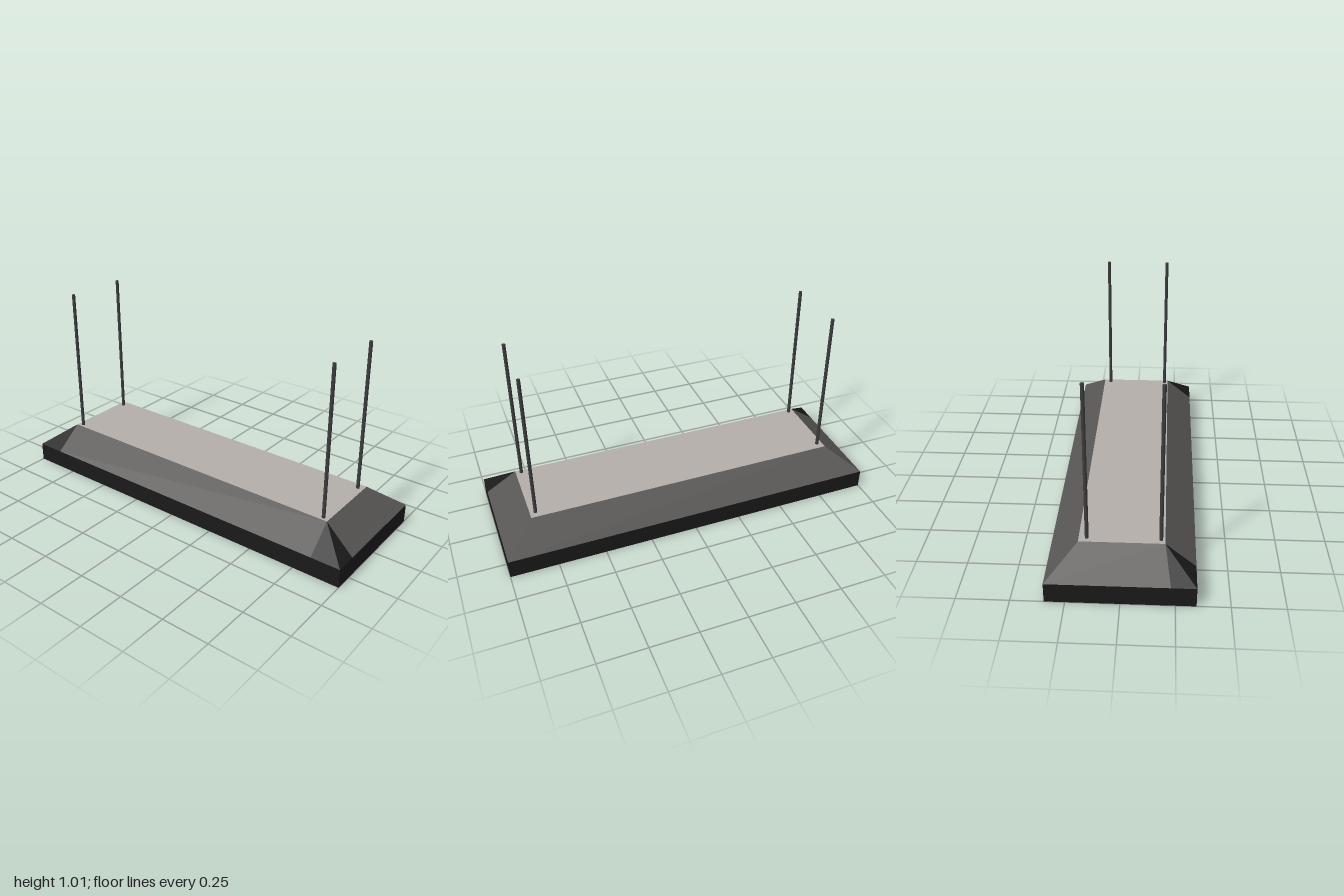
import * as THREE from 'three';

const mat = (color) => new THREE.MeshStandardMaterial({ color, flatShading: true });

// Flat panel from convex corners, listed counter-clockwise as seen from outside
function panel(name, material, corners) {
  const g = new THREE.BufferGeometry();
  g.setAttribute('position', new THREE.Float32BufferAttribute(corners.flat(), 3));
  const index = [];
  for (let i = 1; i < corners.length - 1; i++) index.push(0, i, i + 1);
  g.setIndex(index);
  g.computeVertexNormals();
  const mesh = new THREE.Mesh(g, material);
  mesh.name = name;
  return mesh;
}

export function createModel() {
  const model = new THREE.Group();
  model.name = 'hangingCanopy';
  const black = mat(0x1a1a1a), grey = mat(0x585654), light = mat(0xb4aeaa), steel = mat(0x3c3c3e);

  const X = 1, Z = 0.345, rimY = 0.1;         // rim footprint and height
  const tx = 0.84, tz = 0.2, topY = 0.22;     // top panel
  const cx = 0.845, cz = 0.228;               // where the black corners begin

  // Rim walls
  const rim = new THREE.Group();
  rim.name = 'rim';
  const foot = [[-X, Z], [X, Z], [X, -Z], [-X, -Z]];
  foot.forEach(([x0, z0], i) => {
    const [x1, z1] = foot[(i + 1) % 4];
    rim.add(panel('rimWall', black, [[x0, 0, z0], [x1, 0, z1], [x1, rimY, z1], [x0, rimY, z0]]));
  });
  model.add(rim);

  // Underside and top
  model.add(panel('underside', grey, [[-X, 0, -Z], [X, 0, -Z], [X, 0, Z], [-X, 0, Z]]));
  model.add(panel('topPanel', light, [[-tx, topY, tz], [tx, topY, tz], [tx, topY, -tz], [-tx, topY, -tz]]));

  // Front and back slopes
  model.add(panel('frontSlope', grey, [[-cx, rimY, Z], [cx, rimY, Z], [tx, topY, tz], [-tx, topY, tz]]));
  model.add(panel('backSlope', grey, [[X, rimY, -Z], [-X, rimY, -Z], [-tx, topY, -tz], [tx, topY, -tz]]));

  // Side slopes and black front corners, mirrored
  for (const s of [1, -1]) {
    const wind = (pts) => (s > 0 ? pts : pts.reverse());
    const side = s > 0 ? 'left' : 'right';
    const apex = [s * tx, topY, tz], corner = [s * X, rimY, Z];
    model.add(panel(side + 'Slope', grey, wind([
      [s * X, rimY, cz], [s * X, rimY, -Z], [s * tx, topY, -tz], apex])));
    model.add(panel(side + 'CornerFront', black, wind([[s * cx, rimY, Z], corner, apex])));
    model.add(panel(side + 'CornerSide', black, wind([corner, [s * X, rimY, cz], apex])));
  }

  // Four suspension rods
  const rodGeo = new THREE.CylinderGeometry(0.009, 0.009, 1.012 - topY, 12);
  const rodMat = steel.clone();
  rodMat.flatShading = false;
  for (const x of [-0.81, 0.81]) {
    for (const z of [-0.162, 0.18]) {
      const rod = new THREE.Mesh(rodGeo, rodMat);
      rod.name = 'suspensionRod';
      rod.position.set(x, (1.012 + topY) / 2, z);
      model.add(rod);
    }
  }
  return model;
}
